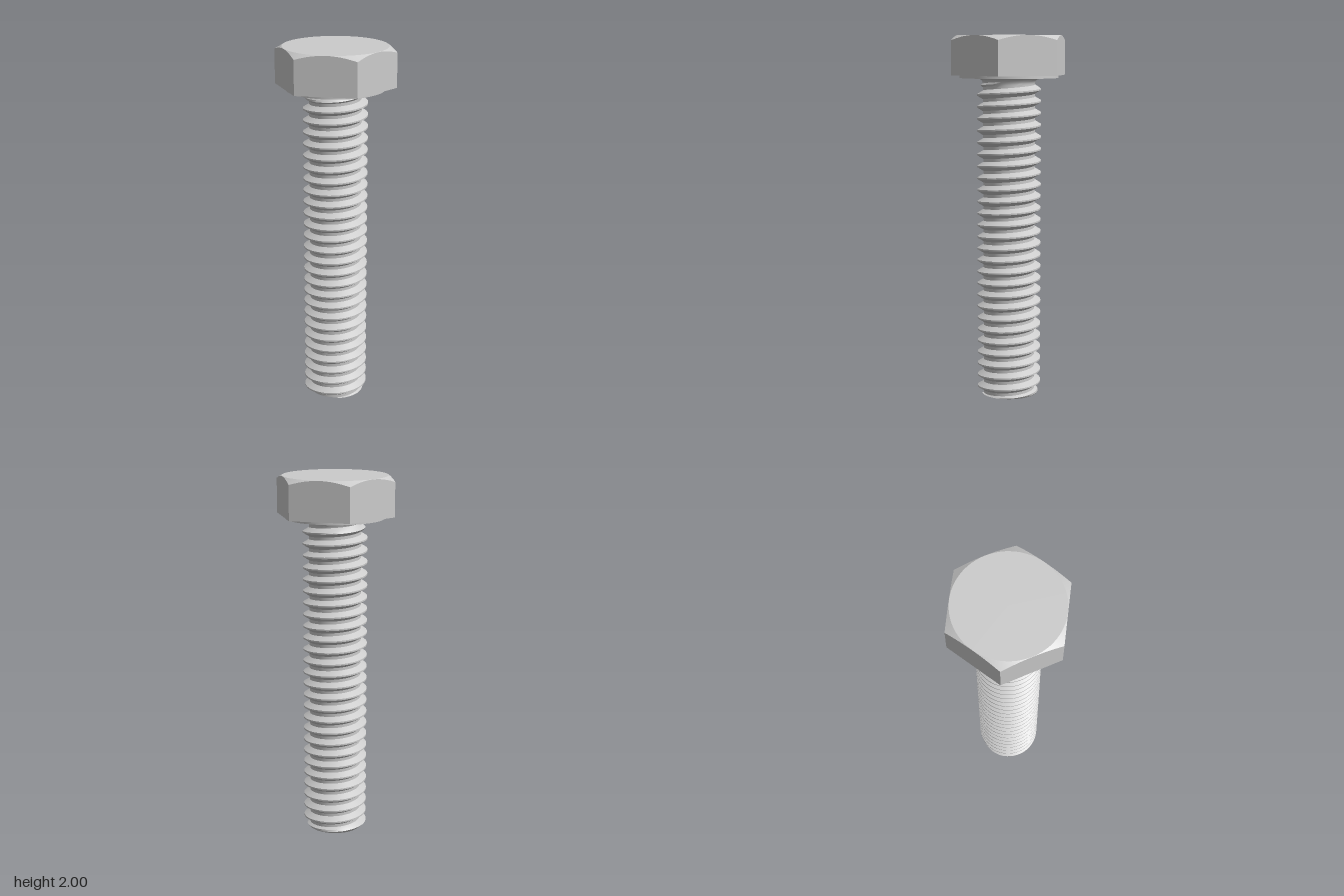
import * as THREE from 'three';
import { toCreasedNormals } from 'three/addons/utils/BufferGeometryUtils.js';

const APOTHEM = 0.287, HEAD_BOTTOM = 1.785, SHANK_TOP = 1.77;
const PITCH = 0.0655, MAJOR = 0.176, MINOR = 0.142, TIP = 0.152;

// Hexagonal head: a lathe whose rim is pushed out to a hexagon and dropped along the chamfer cone
function headGeometry() {
  const circle = APOTHEM - 0.001;
  const profile = [[0, HEAD_BOTTOM], [1, HEAD_BOTTOM], [1, 1.9], [circle, 2], [0, 2]];
  const geo = new THREE.LatheGeometry(profile.map(([r, y]) => new THREE.Vector2(r, y)), 72);
  const pos = geo.attributes.position;
  for (let i = 0; i < pos.count; i++) {
    const x = pos.getX(i), y = pos.getY(i), z = pos.getZ(i);
    if (Math.hypot(x, z) < 0.9) continue;
    const step = Math.PI / 3;
    const a = Math.atan2(x, z);
    const r = APOTHEM / Math.cos(a - Math.round(a / step) * step);
    pos.setXYZ(i, r * Math.sin(a), y > 1.8 ? 2 - (r - circle) * 0.6 : y, r * Math.cos(a));
  }
  return toCreasedNormals(geo, 0.35);
}

// Shank radius at height y; d is the distance from the crest in pitches (0 to 0.5)
function shankRadius(y, d) {
  const flank = THREE.MathUtils.clamp((d - 1 / 16) / (5 / 16), 0, 1);
  let r = THREE.MathUtils.lerp(MAJOR, MINOR, flank);
  r = Math.min(r, TIP + y);                                  // chamfered tip
  r = Math.min(r, Math.max(MINOR, MINOR + 1.745 - y));       // thread run-out
  const t = THREE.MathUtils.clamp((y - 1.735) / (SHANK_TOP - 1.735), 0, 1);
  return Math.max(r, MINOR + 0.038 * (1 - Math.sqrt(1 - t * t))); // fillet under head
}

// Right-handed thread: rows follow the helix and are trimmed at both ends
function threadGeometry() {
  const steps = [0, 1 / 16, 7 / 32, 3 / 8, 1 / 2, 5 / 8, 25 / 32, 15 / 16];
  const segs = 64, turns = Math.ceil(SHANK_TOP / PITCH) + 2;
  const positions = [], index = [], heights = [];
  for (let k = -2; k < turns; k++) {
    for (const f of steps) {
      for (let j = 0; j <= segs; j++) {
        const a = (j / segs) * Math.PI * 2;
        const y = THREE.MathUtils.clamp(PITCH * (k + f + j / segs), 0, SHANK_TOP);
        const r = shankRadius(y, Math.min(f, 1 - f));
        positions.push(r * Math.cos(a), y, -r * Math.sin(a));
        heights.push(y);
      }
    }
  }
  const row = segs + 1;
  for (let i = 0; i + row < heights.length; i++) {
    if (i % row === segs) continue;
    const a = i, b = i + 1, c = i + row + 1, d = i + row;
    if (heights[a] !== heights[c]) index.push(a, b, c);
    if (heights[a] !== heights[d] || heights[d] !== heights[c]) index.push(a, c, d);
  }
  const geo = new THREE.BufferGeometry();
  geo.setAttribute('position', new THREE.Float32BufferAttribute(positions, 3));
  geo.setIndex(index);
  return toCreasedNormals(geo, 0.5);
}

export function createModel() {
  const group = new THREE.Group();
  const material = new THREE.MeshStandardMaterial({ color: 0xcccccc });
  const add = (name, geo) => {
    const mesh = new THREE.Mesh(geo, material);
    mesh.name = name;
    group.add(mesh);
    return mesh;
  };

  add('hexHead', headGeometry());

  // Thin round bearing face under the head
  add('washerFace', new THREE.CylinderGeometry(0.27, 0.27, 0.016, 72))
    .position.y = SHANK_TOP + 0.008;

  add('threadedShank', threadGeometry());

  // Flat end of the shank
  add('shankTip', new THREE.CircleGeometry(TIP, 64).rotateX(Math.PI / 2));

  return group;
}
